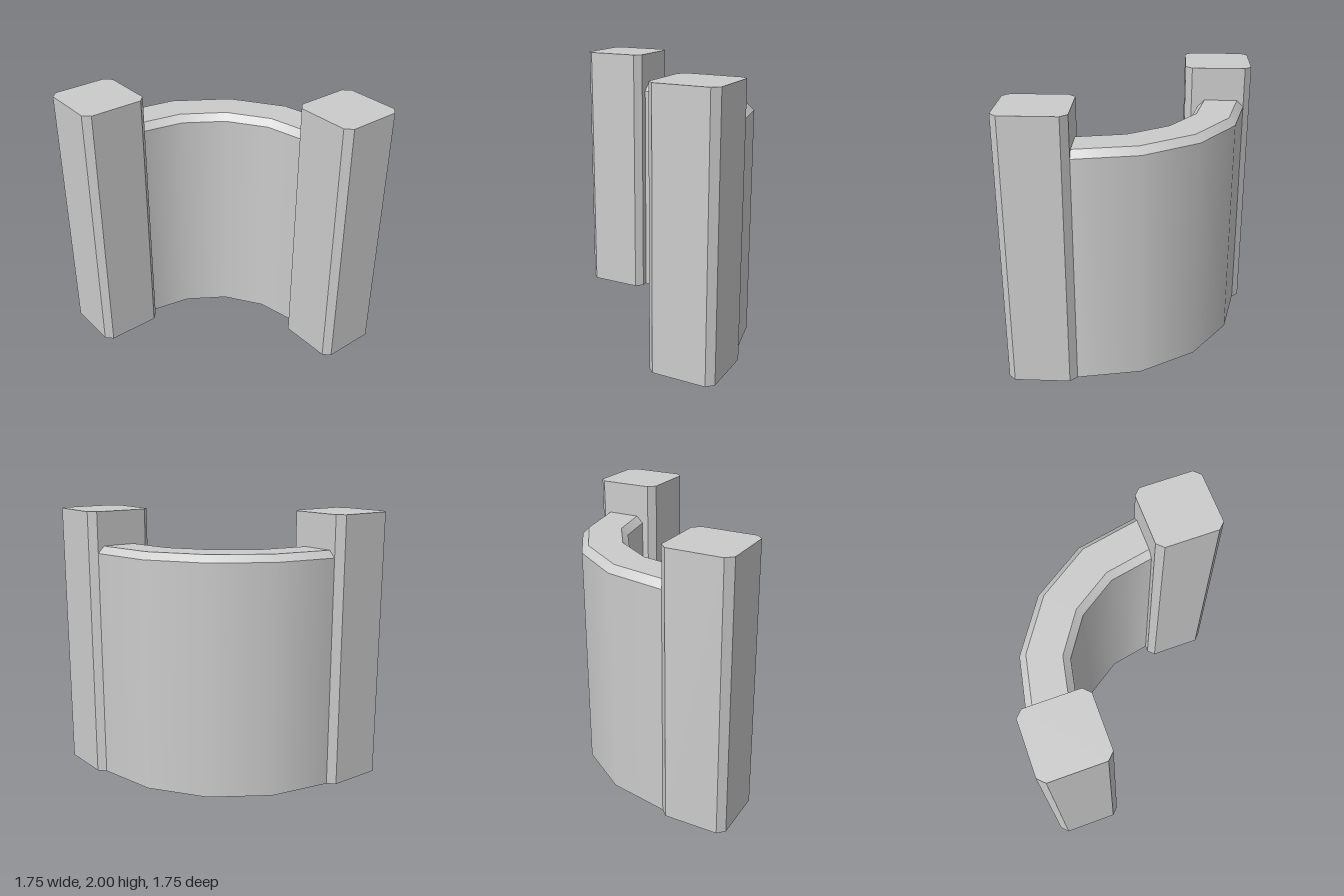
import * as THREE from 'three';
import { mergeGeometries } from 'three/addons/utils/BufferGeometryUtils.js';

const HALF = 0.25, CHAMFER = 0.05, POST_H = 2, OFFSET = 0.625;

// Square post with chamfered upright edges, closed on top and open below
function postGeometry() {
  const h = HALF, c = HALF - CHAMFER;
  const outline = [[h, c], [c, h], [-c, h], [-h, c], [-h, -c], [-c, -h], [c, -h], [h, -c]]
    .map(([x, y]) => new THREE.Vector2(x, y));
  const top = new THREE.ShapeGeometry(new THREE.Shape(outline));
  top.rotateX(-Math.PI / 2).translate(0, POST_H, 0);

  const parts = [top];
  for (let i = 0; i < 8; i++) {
    const chamfer = i % 2 === 1;
    const side = new THREE.PlaneGeometry(chamfer ? CHAMFER * Math.SQRT2 : 2 * c, POST_H);
    side.translate(0, POST_H / 2, chamfer ? (h + c) / Math.SQRT2 : h);
    parts.push(side.rotateY(i * Math.PI / 4));
  }
  return mergeGeometries(parts);
}

// Quarter-round wall with bevelled top edges; each band is smooth along the curve
function wallGeometry() {
  const profile = [[1.2, 0], [1.2, 1.7], [1.15, 1.75], [0.9, 1.75], [0.85, 1.7], [0.85, 0]]
    .map(([r, y]) => new THREE.Vector2(r, y));
  const bands = [];
  for (let i = 0; i < profile.length - 1; i++) {
    bands.push(new THREE.LatheGeometry([profile[i], profile[i + 1]], 4, Math.PI, Math.PI / 2));
  }
  return mergeGeometries(bands).translate(0.375, 0, 0.375);
}

export function createModel() {
  const group = new THREE.Group();
  const material = new THREE.MeshStandardMaterial({ color: 0xcccccc, side: THREE.DoubleSide });

  // Posts at both ends of the curve
  const postShape = postGeometry();
  for (const s of [1, -1]) {
    const post = new THREE.Mesh(postShape, material);
    post.name = s > 0 ? 'leftPost' : 'rightPost';
    post.position.set(s * OFFSET, 0, -s * OFFSET);
    group.add(post);
  }

  // Curved wall between the posts
  const wall = new THREE.Mesh(wallGeometry(), material);
  wall.name = 'curvedWall';
  group.add(wall);

  return group;
}
